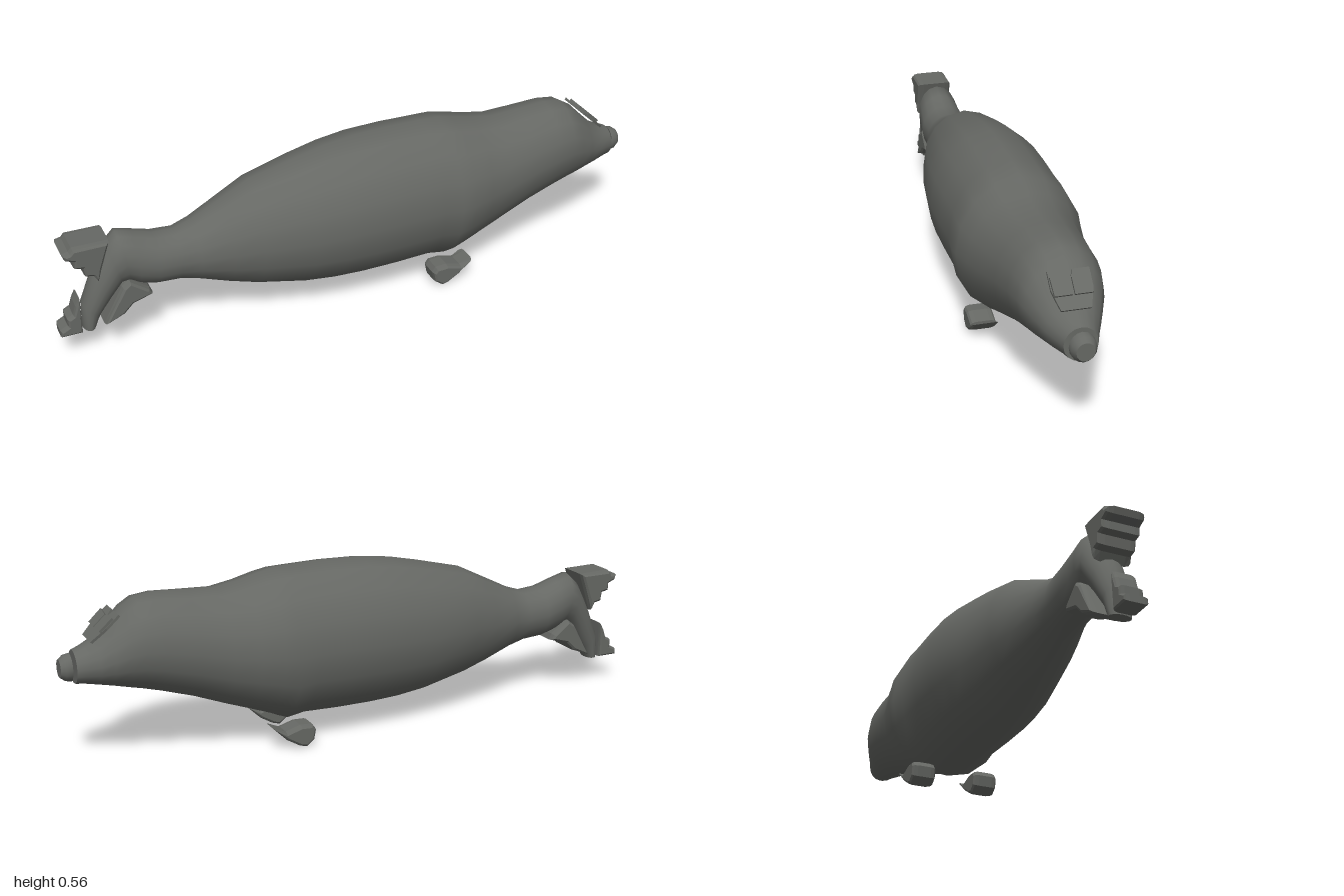
import * as THREE from 'three';

const SIDES = 16;

// Skin a row of elliptical rings, tail to nose: [topX, topY, bottomX, bottomY, halfWidth]
function loft(rings, material, name) {
  const pos = [], index = [];
  const addRing = ([tx, ty, bx, by, w]) => {
    for (let j = 0; j < SIDES; j++) {
      const a = (j / SIDES) * Math.PI * 2, t = (1 + Math.cos(a)) / 2;
      pos.push(bx + (tx - bx) * t, by + (ty - by) * t, w * Math.sin(a));
    }
  };
  rings.forEach(addRing);
  for (let i = 0; i < rings.length - 1; i++) {
    for (let j = 0; j < SIDES; j++) {
      const a = i * SIDES + j, b = i * SIDES + ((j + 1) % SIDES);
      index.push(a, b, a + SIDES, b, b + SIDES, a + SIDES);
    }
  }
  // End caps with their own vertices, so the rims stay sharp
  [rings[0], rings[rings.length - 1]].forEach((r, end) => {
    const base = pos.length / 3;
    addRing(r);
    for (let j = 1; j < SIDES - 1; j++) {
      if (end) index.push(base, base + j, base + j + 1);
      else index.push(base, base + j + 1, base + j);
    }
  });
  const g = new THREE.BufferGeometry();
  g.setAttribute('position', new THREE.Float32BufferAttribute(pos, 3));
  g.setIndex(index);
  g.computeVertexNormals();
  const mesh = new THREE.Mesh(g, material);
  mesh.name = name;
  return mesh;
}

// Side profile in x, y given a bevelled thickness across z
function slab(points, width, bevel, z, material, name) {
  const shape = new THREE.Shape(points.map(([x, y]) => new THREE.Vector2(x, y)));
  const g = new THREE.ExtrudeGeometry(shape, {
    depth: width - bevel * 2, bevelEnabled: true, bevelThickness: bevel,
    bevelSize: bevel * 0.5, bevelOffset: -bevel * 0.5, bevelSegments: 2,
  });
  g.translate(0, 0, z - width / 2 + bevel);
  const mesh = new THREE.Mesh(g, material);
  mesh.name = name;
  return mesh;
}

export function createModel() {
  const model = new THREE.Group();
  model.name = 'seal';
  const skin = new THREE.MeshStandardMaterial({ color: 0x666864 });
  skin.name = 'grey skin';

  // Body with the tail root bending down at the rear
  const upright = [
    [-0.74, 0.395, 0.215, 0.073], [-0.68, 0.375, 0.2, 0.08], [-0.61, 0.37, 0.195, 0.078],
    [-0.55, 0.39, 0.18, 0.09], [-0.45, 0.44, 0.145, 0.12], [-0.36, 0.485, 0.118, 0.145],
    [-0.2, 0.525, 0.085, 0.18], [-0.1, 0.547, 0.074, 0.193], [0, 0.56, 0.07, 0.2],
    [0.12, 0.564, 0.07, 0.2], [0.24, 0.562, 0.074, 0.198], [0.3, 0.56, 0.065, 0.203],
    [0.35, 0.55, 0.088, 0.2], [0.42, 0.533, 0.115, 0.183], [0.5, 0.52, 0.145, 0.165],
    [0.6, 0.525, 0.185, 0.15], [0.7, 0.531, 0.218, 0.138], [0.76, 0.524, 0.235, 0.128],
    [0.8, 0.5, 0.245, 0.117], [0.85, 0.45, 0.258, 0.096], [0.89, 0.412, 0.267, 0.078],
    [0.93, 0.392, 0.275, 0.06], [0.957, 0.382, 0.278, 0.05],
  ].map(([x, top, bottom, w]) => [x, top, x, bottom, w]);
  model.add(loft([
    [-0.925, 0.09, -0.885, 0.09, 0.035], [-0.922, 0.18, -0.865, 0.13, 0.042],
    [-0.88, 0.28, -0.825, 0.185, 0.052], [-0.83, 0.375, -0.79, 0.23, 0.064],
    [-0.795, 0.41, -0.765, 0.23, 0.07], ...upright,
  ], skin, 'body'));

  // Nose tip, set just ahead of the muzzle
  model.add(loft([
    [0.966, 0.374, 0.966, 0.286, 0.038], [0.985, 0.37, 0.985, 0.29, 0.037],
    [1, 0.358, 1, 0.302, 0.027],
  ], skin, 'nose'));

  // Tail fins with ragged edges
  model.add(slab([
    [-0.825, 0.41], [-0.94, 0.412], [-0.95, 0.4], [-0.972, 0.395], [-0.965, 0.375],
    [-0.94, 0.365], [-0.94, 0.34], [-0.915, 0.335], [-0.91, 0.305], [-0.885, 0.3],
    [-0.87, 0.275], [-0.855, 0.32],
  ], 0.12, 0.02, 0, skin, 'upperTailFin'));
  model.add(slab([
    [-0.93, 0.09], [-0.93, 0.215], [-0.945, 0.19], [-0.955, 0.16], [-0.975, 0.15],
    [-0.975, 0.125], [-1, 0.112], [-1, 0.09],
  ], 0.075, 0.015, 0, skin, 'rearTailFin'));
  model.add(slab([
    [-0.865, 0.115], [-0.8, 0.14], [-0.77, 0.17], [-0.705, 0.19], [-0.715, 0.21],
    [-0.775, 0.255], [-0.8, 0.235],
  ], 0.13, 0.02, 0, skin, 'lowerTailFin'));

  // Front flippers under the chest
  for (const side of [1, -1]) {
    model.add(slab([
      [0.372, 0.076], [0.33, 0.06], [0.28, 0.074], [0.24, 0.072], [0.228, 0.055],
      [0.235, 0.02], [0.262, 0], [0.285, 0.006], [0.325, 0.03],
    ], 0.082, 0.018, side * 0.11, skin, side > 0 ? 'leftFlipper' : 'rightFlipper'));
  }

  // Eye patches: two layered plates lying on the brow slope
  const brow = new THREE.Group();
  brow.name = 'eyePatches';
  for (const side of [1, -1]) {
    const layer = (points, lift, name) => {
      const shape = new THREE.Shape(points.map(([u, v]) => new THREE.Vector2(u * side, v)));
      const g = new THREE.ExtrudeGeometry(shape, { depth: 0.008, bevelEnabled: false });
      const mesh = new THREE.Mesh(g, skin);
      mesh.position.z = lift;
      mesh.name = name;
      brow.add(mesh);
    };
    layer([[0, -0.06], [0.043, -0.06], [0.052, -0.03], [0.06, 0], [0.06, 0.055],
      [0.012, 0.055], [0.004, 0.035], [0, 0.035]], 0, 'eyePatch');
    layer([[0.003, -0.02], [0.055, -0.02], [0.058, 0.035], [0.003, 0.03]], 0.008, 'eyeLid');
  }
  brow.position.set(0.862, 0.447, 0);
  brow.rotation.set(0, Math.PI / 2, 0);
  const tilt = new THREE.Group();
  tilt.name = 'brow';
  tilt.add(brow);
  brow.position.set(0, 0, 0);
  tilt.position.set(0.862, 0.447, 0);
  tilt.rotation.z = 0.83;
  model.add(tilt);

  return model;
}
